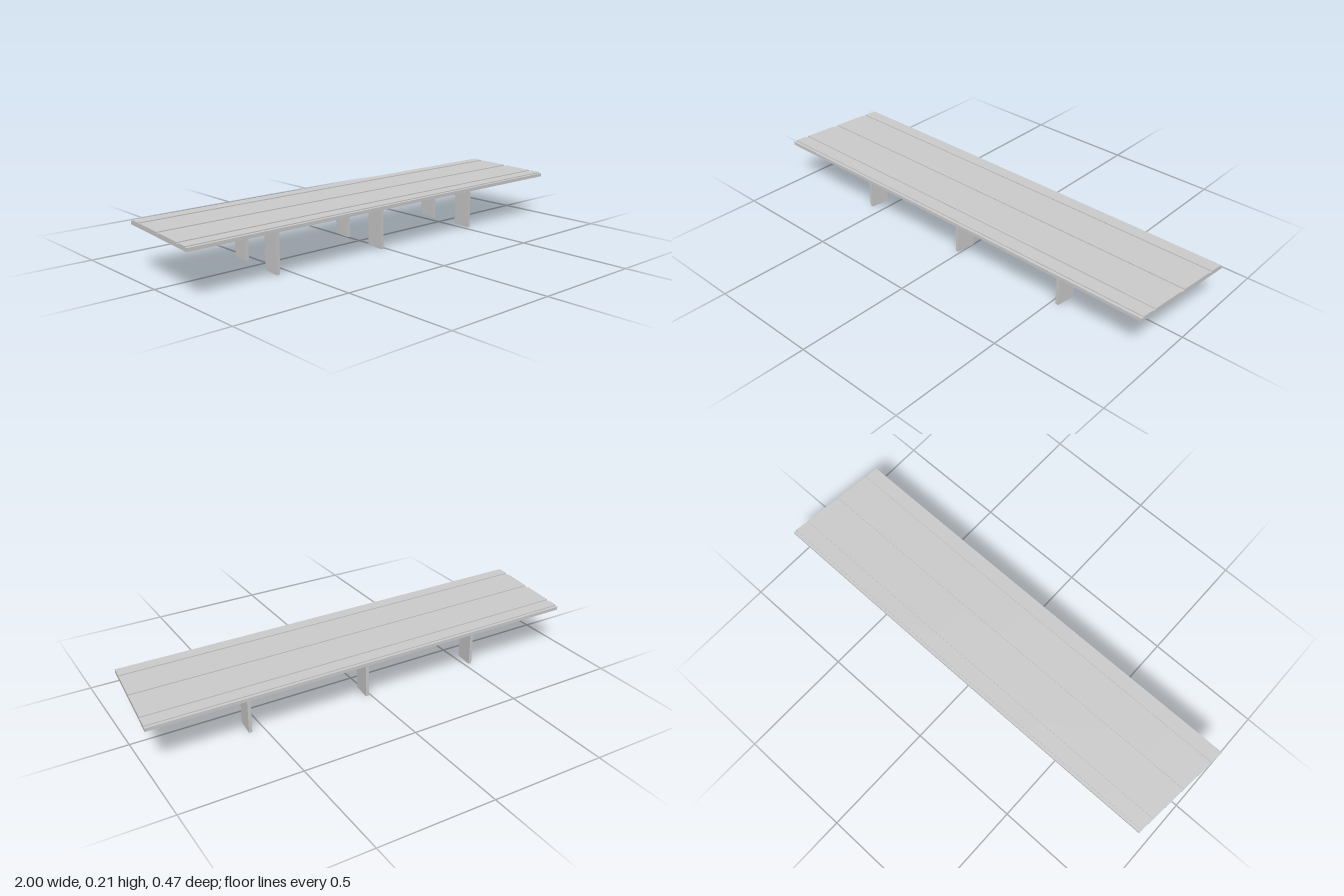
import * as THREE from 'three';

const material = new THREE.MeshStandardMaterial({ color: 0xcccccc, flatShading: true });
const SKEW = 0.097; // x shift per unit of z, for the slanted deck ends
const BEND = 0.003; // very slight curve of the whole bridge in plan

// Slant and gently curve a geometry in plan
function skewAndBend(geometry) {
  const p = geometry.attributes.position;
  for (let i = 0; i < p.count; i++) {
    const x = p.getX(i), z = p.getZ(i);
    p.setX(i, x - SKEW * z);
    p.setZ(i, z + BEND * (x * x - 0.5));
  }
  geometry.computeVertexNormals();
  return geometry;
}

function addMesh(group, name, geometry) {
  const mesh = new THREE.Mesh(skewAndBend(geometry), material);
  mesh.name = name;
  group.add(mesh);
}

export function createModel() {
  const group = new THREE.Group();
  group.name = 'bridge';

  // Deck cross-section: a slab with four raised strips (kerbs and lanes)
  const bottom = 0.192, slabTop = 0.2065, stripTop = 0.2105, half = 0.236;
  const strips = [[-0.223, -0.175], [-0.158, -0.010], [0.014, 0.158], [0.174, 0.223]];
  const section = new THREE.Shape();
  section.moveTo(-half, bottom);
  section.lineTo(-half, slabTop);
  for (const [a, b] of strips) {
    section.lineTo(a, slabTop);
    section.lineTo(a, stripTop);
    section.lineTo(b, stripTop);
    section.lineTo(b, slabTop);
  }
  section.lineTo(half, slabTop);
  section.lineTo(half, bottom);

  const length = 1.954;
  const deck = new THREE.ExtrudeGeometry(section, { depth: length, steps: 10, bevelEnabled: false });
  deck.translate(0, 0, -length / 2);
  // Turn the extrusion to run along x; section +x becomes -z, so mirror the strips back
  deck.rotateY(-Math.PI / 2);
  addMesh(group, 'deck', deck);

  // Three pairs of thin wall piers
  for (const x of [-0.543, 0, 0.543]) {
    for (const z of [0.119, -0.12]) {
      const pier = new THREE.BoxGeometry(0.0145, bottom, 0.086);
      pier.translate(x, bottom / 2, z);
      addMesh(group, 'pier', pier);
    }
  }
  return group;
}
